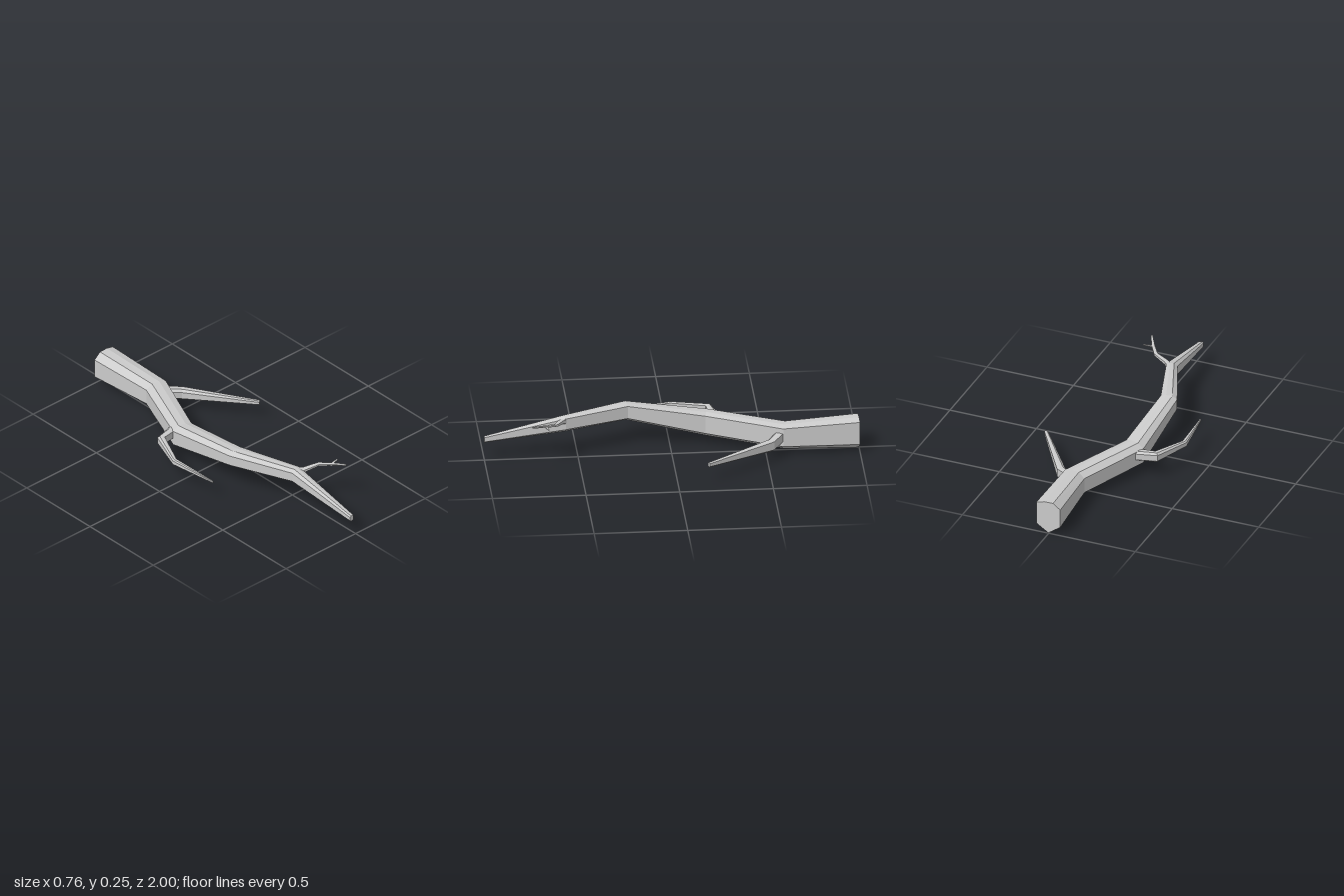
import * as THREE from 'three';

// Faceted cross-section: pointed underside, upright flanks, bevelled top
const PROFILE = [[0, -1], [1, -0.5], [1, 0.88], [0.35, 1], [-0.4, 1], [-1, 0.65], [-1, -0.5]];

const material = new THREE.MeshStandardMaterial({ color: 0xcccccc, flatShading: true });

// Loft the profile along stations of [x, y, z, half width, half height]
function limb(name, stations) {
  const n = PROFILE.length, last = stations.length - 1;
  const unit = (a, b) => new THREE.Vector2(b[0] - a[0], b[2] - a[2]).normalize();
  const positions = [], index = [];

  stations.forEach(([x, y, z, w, h], i) => {
    // Each ring turns to the average heading of its neighbouring segments
    const d = new THREE.Vector2();
    if (i > 0) d.add(unit(stations[i - 1], stations[i]));
    if (i < last) d.add(unit(stations[i], stations[i + 1]));
    d.normalize();
    for (const [u, v] of PROFILE) positions.push(x + d.y * u * w, y + v * h, z - d.x * u * w);
  });

  for (let i = 0; i < last; i++) {
    for (let j = 0; j < n; j++) {
      const k = (j + 1) % n, a = i * n, b = a + n;
      index.push(a + j, a + k, b + k, a + j, b + k, b + j);
    }
  }
  // End caps
  for (let j = 1; j < n - 1; j++) {
    index.push(0, j + 1, j, last * n, last * n + j, last * n + j + 1);
  }

  const geometry = new THREE.BufferGeometry();
  geometry.setAttribute('position', new THREE.Float32BufferAttribute(positions, 3));
  geometry.setIndex(index);
  const flat = geometry.toNonIndexed();
  flat.computeVertexNormals();
  const mesh = new THREE.Mesh(flat, material);
  mesh.name = name;
  return mesh;
}

export function createModel() {
  const group = new THREE.Group();
  group.name = 'fallenBranch';
  group.add(
    // Main bough, thick end at the back
    limb('mainBough', [
      [0.004, 0.093, -0.997, 0.068, 0.093],
      [0.02, 0.09, -0.6, 0.061, 0.075],
      [-0.155, 0.101, -0.2, 0.056, 0.073],
      [-0.169, 0.182, 0.23, 0.045, 0.051],
      [-0.04, 0.178, 0.57, 0.03, 0.045],
      [-0.027, 0.108, 0.999, 0.013, 0.018],
    ]),
    // Side branch near the thick end
    limb('leftBranch', [
      [0.035, 0.1, -0.585, 0.026, 0.034],
      [0.134, 0.085, -0.518, 0.024, 0.034],
      [0.372, 0.093, -0.167, 0.01, 0.013],
    ]),
    // Crooked side branch at mid length
    limb('rightBranch', [
      [-0.165, 0.12, -0.245, 0.026, 0.03],
      [-0.289, 0.12, -0.22, 0.02, 0.03],
      [-0.369, 0.116, -0.025, 0.012, 0.019],
      [-0.343, 0.112, 0.25, 0.004, 0.006],
    ]),
    // Thin twig with a fork
    limb('twig', [
      [-0.035, 0.195, 0.56, 0.017, 0.018],
      [0.0, 0.205, 0.592, 0.014, 0.012],
      [0.075, 0.222, 0.622, 0.011, 0.008],
      [0.115, 0.234, 0.68, 0.009, 0.006],
      [0.155, 0.248, 0.755, 0.005, 0.004],
    ]),
    limb('twigFork', [
      [0.112, 0.23, 0.682, 0.007, 0.005],
      [0.135, 0.234, 0.676, 0.006, 0.004],
      [0.168, 0.236, 0.67, 0.004, 0.002],
    ]),
  );
  return group;
}
